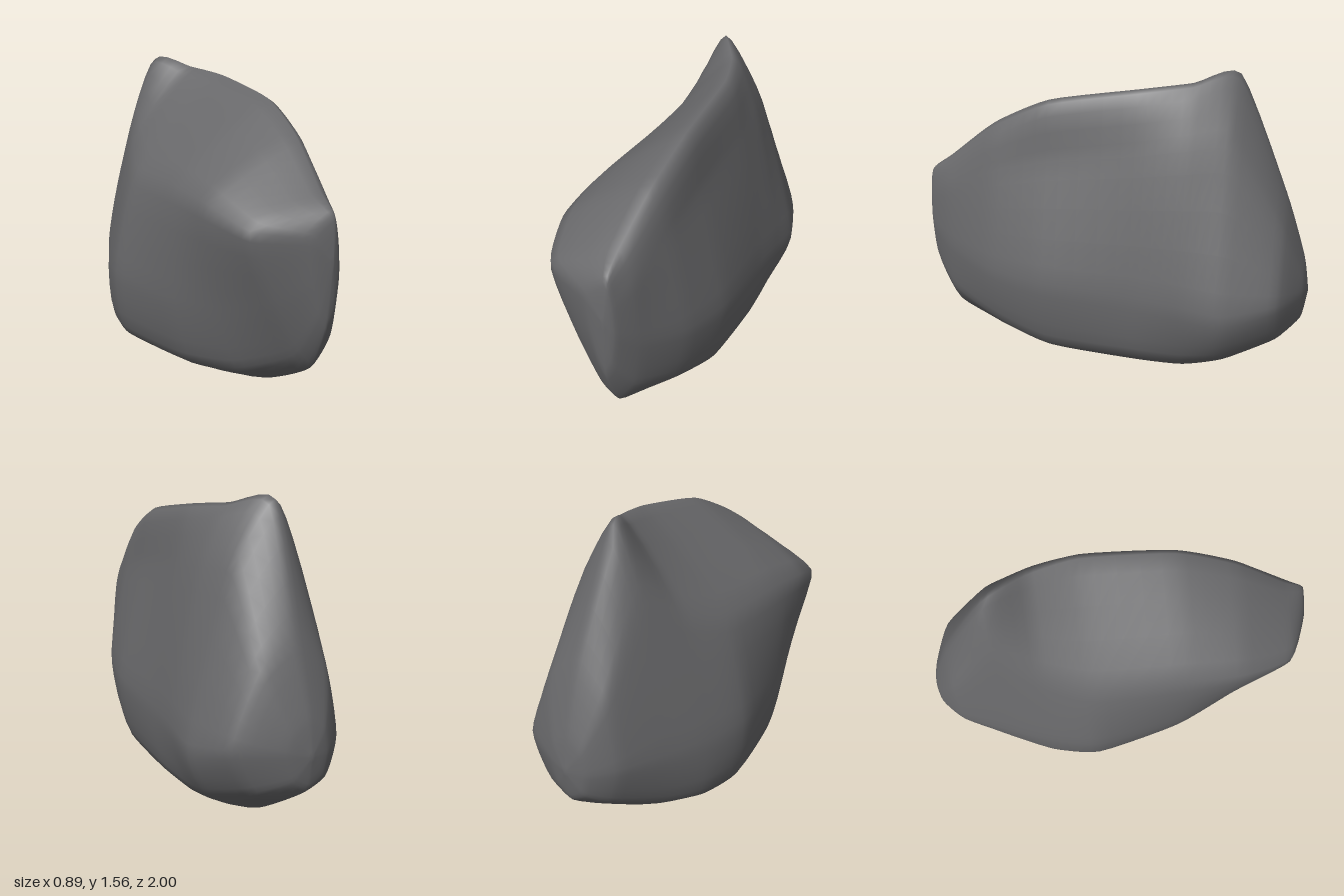
import * as THREE from 'three';
import { mergeVertices } from 'three/addons/utils/BufferGeometryUtils.js';

// Depth of each cross-section, from front to back
const depths = [0.975, 0.86, 0.6, 0.3, -0.15, -0.4, -0.61, -0.86, -0.97];

// x, y pairs: ridge, shoulder, widest, low (+x side), base, low, widest, shoulder (-x side)
const sections = [
  [0.12, 0.98, 0.15, 0.86, 0.16, 0.7, 0.14, 0.54, 0.1, 0.46, 0.06, 0.53, 0.02, 0.69, 0.0, 0.88],
  [0.12, 1.07, 0.2, 0.92, 0.23, 0.62, 0.2, 0.36, 0.1, 0.23, 0.0, 0.31, -0.13, 0.58, -0.23, 0.92],
  [0.16, 1.27, 0.25, 1.03, 0.345, 0.55, 0.29, 0.25, 0.06, 0.09, -0.15, 0.18, -0.25, 0.5, -0.315, 1.0],
  [0.19, 1.41, 0.27, 1.11, 0.41, 0.52, 0.35, 0.17, 0.07, 0.025, -0.28, 0.14, -0.365, 0.48, -0.325, 1.03],
  [0.185, 1.485, 0.29, 1.18, 0.415, 0.5, 0.37, 0.16, 0.09, 0.01, -0.38, 0.14, -0.445, 0.5, -0.31, 1.03],
  [0.12, 1.515, 0.275, 1.22, 0.43, 0.48, 0.35, 0.15, 0.08, 0.005, -0.34, 0.14, -0.385, 0.48, -0.23, 1.1],
  [0.0, 1.545, 0.22, 1.22, 0.44, 0.46, 0.34, 0.19, 0.06, 0.06, -0.25, 0.18, -0.305, 0.48, -0.15, 1.2],
  [0.03, 0.98, 0.21, 0.84, 0.35, 0.5, 0.25, 0.28, 0.05, 0.21, -0.14, 0.28, -0.2, 0.48, -0.13, 0.82],
  [0.02, 0.64, 0.11, 0.58, 0.14, 0.48, 0.1, 0.35, 0.02, 0.3, -0.06, 0.35, -0.085, 0.46, -0.06, 0.58],
];
const frontTip = new THREE.Vector3(0.11, 0.77, 1);
const backTip = new THREE.Vector3(0.02, 0.46, -1);

const AROUND = 40;
const ALONG = 50;
const TENSION = 0.3;

// Sample a closed smooth loop through one cross-section
function loopPoints(section, z) {
  const pts = [];
  for (let k = 0; k < section.length; k += 2) pts.push(new THREE.Vector3(section[k], section[k + 1], z));
  const curve = new THREE.CatmullRomCurve3(pts, true, 'catmullrom', TENSION);
  return Array.from({ length: AROUND }, (_, j) => curve.getPoint(j / AROUND));
}

// Skin the loops with smooth rails running from tip to tip
function boulderGeometry() {
  const loops = sections.map((s, i) => loopPoints(s, depths[i]));
  const positions = [];
  const index = [];
  for (let j = 0; j < AROUND; j++) {
    const rail = new THREE.CatmullRomCurve3(
      [frontTip, ...loops.map((l) => l[j]), backTip], false, 'catmullrom', TENSION);
    for (let i = 0; i <= ALONG; i++) {
      const p = rail.getPoint(i / ALONG);
      positions.push(p.x, Math.max(p.y, 0), p.z);
    }
  }
  for (let j = 0; j < AROUND; j++) {
    for (let i = 0; i < ALONG; i++) {
      const a = j * (ALONG + 1) + i;
      const b = ((j + 1) % AROUND) * (ALONG + 1) + i;
      if (i > 0) index.push(a, b, a + 1);
      if (i < ALONG - 1) index.push(b, b + 1, a + 1);
    }
  }
  const geometry = new THREE.BufferGeometry();
  geometry.setAttribute('position', new THREE.Float32BufferAttribute(positions, 3));
  geometry.setIndex(index);
  const merged = mergeVertices(geometry, 1e-5);
  merged.computeVertexNormals();
  return merged;
}

export function createModel() {
  const stone = new THREE.MeshStandardMaterial({ color: 0x68686a });
  stone.name = 'grey stone';

  const boulder = new THREE.Mesh(boulderGeometry(), stone);
  boulder.name = 'boulder';

  const model = new THREE.Group();
  model.name = 'rock';
  model.add(boulder);
  return model;
}
